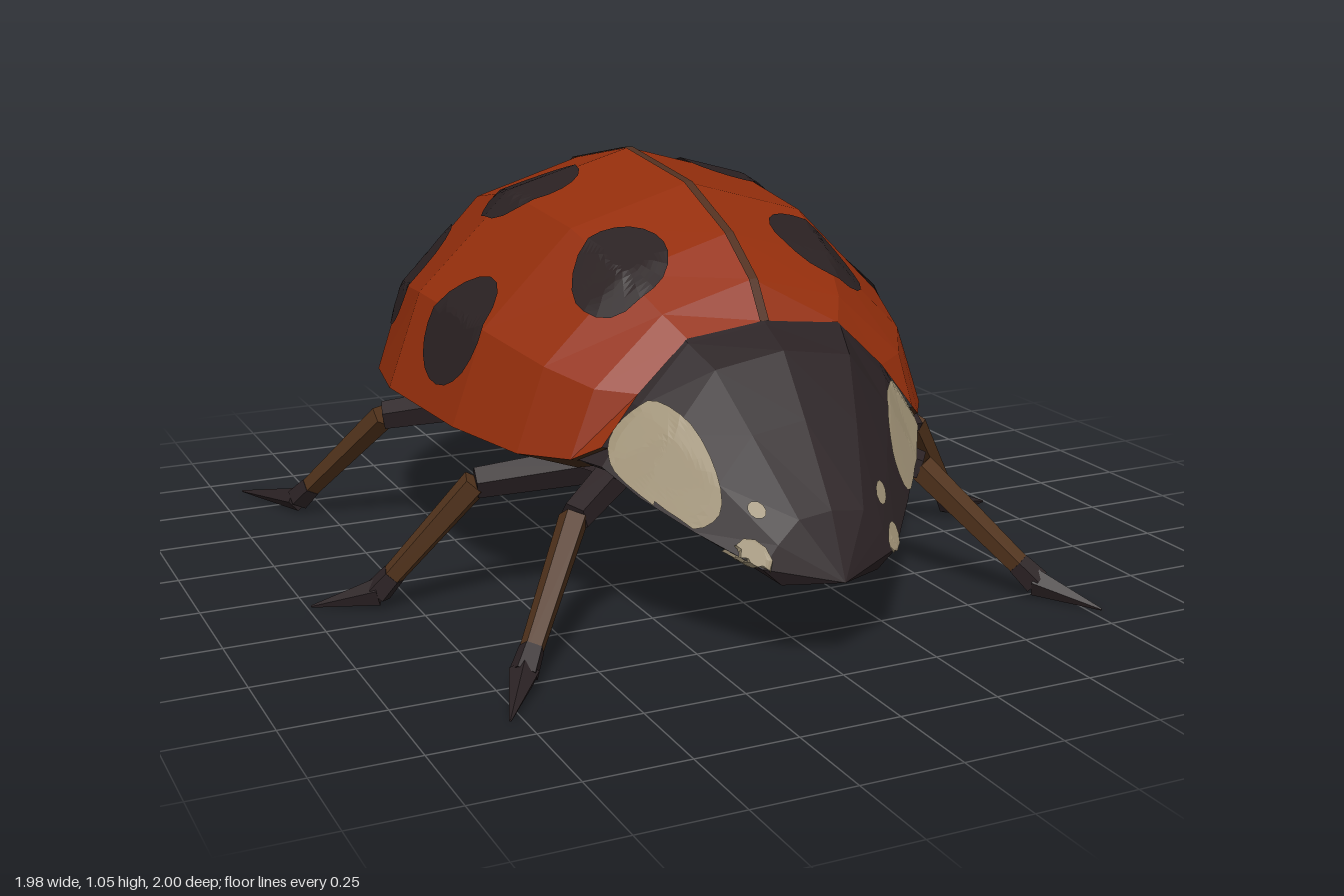
import * as THREE from 'three';

const mat = (name, color, side = THREE.FrontSide) => {
  const m = new THREE.MeshStandardMaterial({ color, side });
  m.name = name;
  return m;
};
const V = (x, y, z) => new THREE.Vector3(x, y, z);

// Faceted geometry from a flat list of triangle corners
function faceted(points) {
  const g = new THREE.BufferGeometry().setFromPoints(points);
  g.computeVertexNormals();
  return g;
}

// Skin over a row of cross-sections, given front to back
function loft(rings, closed = false) {
  const out = [];
  for (let i = 0; i < rings.length - 1; i++) {
    const n = rings[i].length;
    for (let j = 0; j < (closed ? n : n - 1); j++) {
      const k = (j + 1) % n;
      const a = rings[i][j], b = rings[i + 1][j], c = rings[i + 1][k], d = rings[i][k];
      out.push(a, b, c, a, c, d);
    }
  }
  return faceted(out);
}

// Thin patch with the given outline, laid onto a target surface along -dir
function decal(target, outline, dir, toWorld, lift = 0.007) {
  const ray = new THREE.Raycaster();
  const cx = outline.reduce((s, p) => s + p[0], 0) / outline.length;
  const cy = outline.reduce((s, p) => s + p[1], 0) / outline.length;
  const steps = 10, n = outline.length, out = [];
  const hit = (p, t) => {
    const origin = toWorld(cx + (p[0] - cx) * t, cy + (p[1] - cy) * t);
    ray.set(origin, dir.clone().negate());
    const h = ray.intersectObject(target)[0];
    return h ? h.point.addScaledVector(h.face.normal, lift) : null;
  };
  const grid = [];
  for (let r = 0; r <= steps; r++) grid.push(outline.map(p => hit(p, r / steps)));
  for (let r = 0; r < steps; r++) for (let j = 0; j < n; j++) {
    const k = (j + 1) % n;
    const a = grid[r][j], b = grid[r + 1][j], c = grid[r + 1][k], d = grid[r][k];
    if (a && b && c) out.push(a, b, c);
    if (a && c && d && r > 0) out.push(a, c, d);
  }
  return faceted(out);
}

const ellipse = (cx, cy, rx, ry, n = 20) => Array.from({ length: n }, (_, i) => {
  const a = (i / n) * Math.PI * 2;
  return [cx + rx * Math.cos(a), cy + ry * Math.sin(a)];
});

// Round a loose outline into a smooth closed one
const smooth = pts => new THREE.CatmullRomCurve3(pts.map(p => V(p[0], p[1], 0)), true)
  .getPoints(28).slice(0, 28).map(p => [p.x, p.y]);

// Tapered limb piece between two points
function limb(a, b, ra, rb, material, name) {
  const d = b.clone().sub(a);
  const m = new THREE.Mesh(new THREE.CylinderGeometry(rb, ra, d.length(), 5).toNonIndexed(), material);
  m.geometry.computeVertexNormals();
  m.position.copy(a).addScaledVector(d, 0.5);
  m.quaternion.setFromUnitVectors(V(0, 1, 0), d.normalize());
  m.name = name;
  return m;
}

export function createModel() {
  const red = mat('shellRed', 0x942e0c, THREE.DoubleSide);
  const black = mat('darkBrownBlack', 0x2b2224);
  const spotBlack = mat('spotBlack', 0x2a2122, THREE.DoubleSide);
  const cream = mat('cream', 0xa19377, THREE.DoubleSide);
  const brown = mat('legBrown', 0x51331c);
  const seamBrown = mat('seamBrown', 0x523020, THREE.DoubleSide);
  const bellyBrown = mat('bellyBrown', 0x452c19);

  const model = new THREE.Group();
  model.name = 'beetle';
  const add = (geometry, material, name) => {
    const m = new THREE.Mesh(geometry, material);
    m.name = name;
    model.add(m);
    return m;
  };

  // Body stations: z, half width, top, rim, belly
  const body = [
    [0.59, 0.42, 0.75, 0.49, 0.44], [0.53, 0.475, 0.84, 0.45, 0.41], [0.4, 0.56, 0.93, 0.44, 0.37],
    [0.17, 0.64, 1.02, 0.455, 0.365], [-0.2, 0.685, 1.06, 0.47, 0.37], [-0.56, 0.605, 0.985, 0.43, 0.32],
    [-0.75, 0.5, 0.87, 0.405, 0.33], [-0.935, 0.3, 0.68, 0.385, 0.345], [-1, 0, 0.46, 0.46, 0.46],
  ];

  // Domed shell, its front opening shaped to the head
  const dome = [[1, 0], [0.87, 0.42], [0.5, 0.835], [0, 1], [-0.5, 0.835], [-0.87, 0.42], [-1, 0]];
  const hood = [[1, 0], [0.78, 0.45], [0.48, 0.91], [0, 1], [-0.48, 0.91], [-0.78, 0.45], [-1, 0]];
  const arch = (profile, z, w, top, base) => profile.map(([u, v]) => V(u * w, base + v * (top - base), z));
  const shell = add(loft(body.map(([z, w, top, rim], i) => arch(i ? dome : hood, z, w, top, rim))), red, 'shell');

  // Belly, with the shell colour wrapping under the tail
  const under = body.map(([z, w, , rim, low]) => [
    V(-w, rim, z), V(-0.72 * w, low + 0.015, z), V(0, low, z), V(0.72 * w, low + 0.015, z), V(w, rim, z),
  ]);
  add(loft(under.slice(0, -1)), bellyBrown, 'belly');
  add(loft(under.slice(-2)), red, 'tailUnderside');

  // Seam down the middle of the shell
  const mid = V(0, 0.6, -0.2);
  add(loft(body.map(([z, , top]) => [0.012, -0.012].map(x =>
    V(0, top, z).sub(mid).multiplyScalar(1.004).add(mid).setX(x)))), seamBrown, 'shellSeam');

  // Head: z, half width, top, widest height, bottom
  const headStations = [
    [1, 0, 0.23, 0.23, 0.23], [0.93, 0.175, 0.38, 0.265, 0.22], [0.8, 0.285, 0.56, 0.33, 0.275],
    [0.69, 0.37, 0.7, 0.39, 0.33], [0.6, 0.425, 0.745, 0.445, 0.375], [0.5, 0.47, 0.8, 0.45, 0.385],
  ];
  const head = add(loft(headStations.map(([z, w, top, wide, low]) =>
    [...arch(hood, z, w, top, wide), V(-0.72 * w, low, z), V(0.72 * w, low, z)]), true), black, 'head');

  // Dark chest plate under the front of the belly
  const chest = new THREE.SphereGeometry(1, 12, 6).toNonIndexed();
  chest.scale(0.4, 0.045, 0.3);
  chest.computeVertexNormals();
  add(chest, black, 'chest').position.set(0, 0.385, 0.4);

  model.updateMatrixWorld(true);
  const up = V(0, 1, 0), front = V(0, 0, 1);
  const fromFront = (a, b) => V(a, b, 2);

  // Pale cheeks, the right one reaching further forward
  const leftCheek = smooth([[0.795, 0.35], [0.785, 0.42], [0.73, 0.5], [0.67, 0.55], [0.58, 0.56],
    [0.54, 0.5], [0.56, 0.46], [0.64, 0.41], [0.73, 0.36]]);
  const rightCheek = smooth([[-0.23, 0.37], [-0.22, 0.46], [-0.25, 0.56], [-0.3, 0.595], [-0.35, 0.56],
    [-0.4, 0.49], [-0.405, 0.445], [-0.35, 0.38], [-0.285, 0.335]]);
  add(decal(head, leftCheek, V(1, 0, 0), (a, b) => V(2, b, a)), cream, 'leftCheek');
  add(decal(head, rightCheek, front, fromFront), cream, 'rightCheek');

  // Small pale face marks: x, y, radii
  for (const [x, y, rx, ry] of [[0.155, 0.385, 0.02, 0.025], [0.165, 0.29, 0.022, 0.032],
    [-0.16, 0.385, 0.018, 0.018], [-0.185, 0.285, 0.033, 0.042]])
    add(decal(head, ellipse(x, y, rx, ry, 10), front, fromFront), cream, 'faceMark');

  for (const s of [1, -1]) {
    const label = s > 0 ? 'left' : 'right';

    // Upper spots: x, z, radii
    for (const [x, z, rx, rz] of [[0.28, -0.2, 0.128, 0.132], [0.265, 0.35, 0.115, 0.12]])
      add(decal(shell, ellipse(x * s, z, rx, rz), up, (a, b) => V(a, 2, b)), spotBlack, label + 'UpperSpot');

    // Flank spots: z, y
    for (const [z, y] of [[0.04, 0.66], [-0.53, 0.69]])
      add(decal(shell, ellipse(z, y, 0.135, 0.13), V(s, 0, 0), (a, b) => V(2 * s, b, a)), spotBlack, label + 'FlankSpot');

    // Legs: hip, knee, ankle, tip
    const legs = {
      Front: [[0.28, 0.4, 0.42], [0.475, 0.315, 0.55], [0.69, 0.045, 0.77], [0.78, 0.01, 0.92]],
      Middle: [[0.34, 0.37, 0.34], [0.62, 0.34, 0.275], [0.835, 0.045, 0.14], [0.99, 0.01, 0.08]],
      Rear: [[0.4, 0.37, -0.32], [0.64, 0.335, -0.41], [0.82, 0.045, -0.67], [0.925, 0.01, -0.91]],
    };
    for (const [place, pts] of Object.entries(legs)) {
      const leg = new THREE.Group();
      leg.name = label + place + 'Leg';
      const [hip, knee, ankle, tip] = pts.map(p => V(p[0] * s, p[1], p[2]));
      leg.add(
        limb(hip, knee, 0.05, 0.04, black, 'thigh'),
        limb(knee, ankle, 0.037, 0.028, brown, 'shin'),
        limb(ankle.clone().lerp(knee, 0.16), ankle, 0.031, 0.036, black, 'ankle'),
        limb(ankle, tip, 0.036, 0.003, black, 'foot'),
      );
      model.add(leg);
    }
  }
  return model;
}
